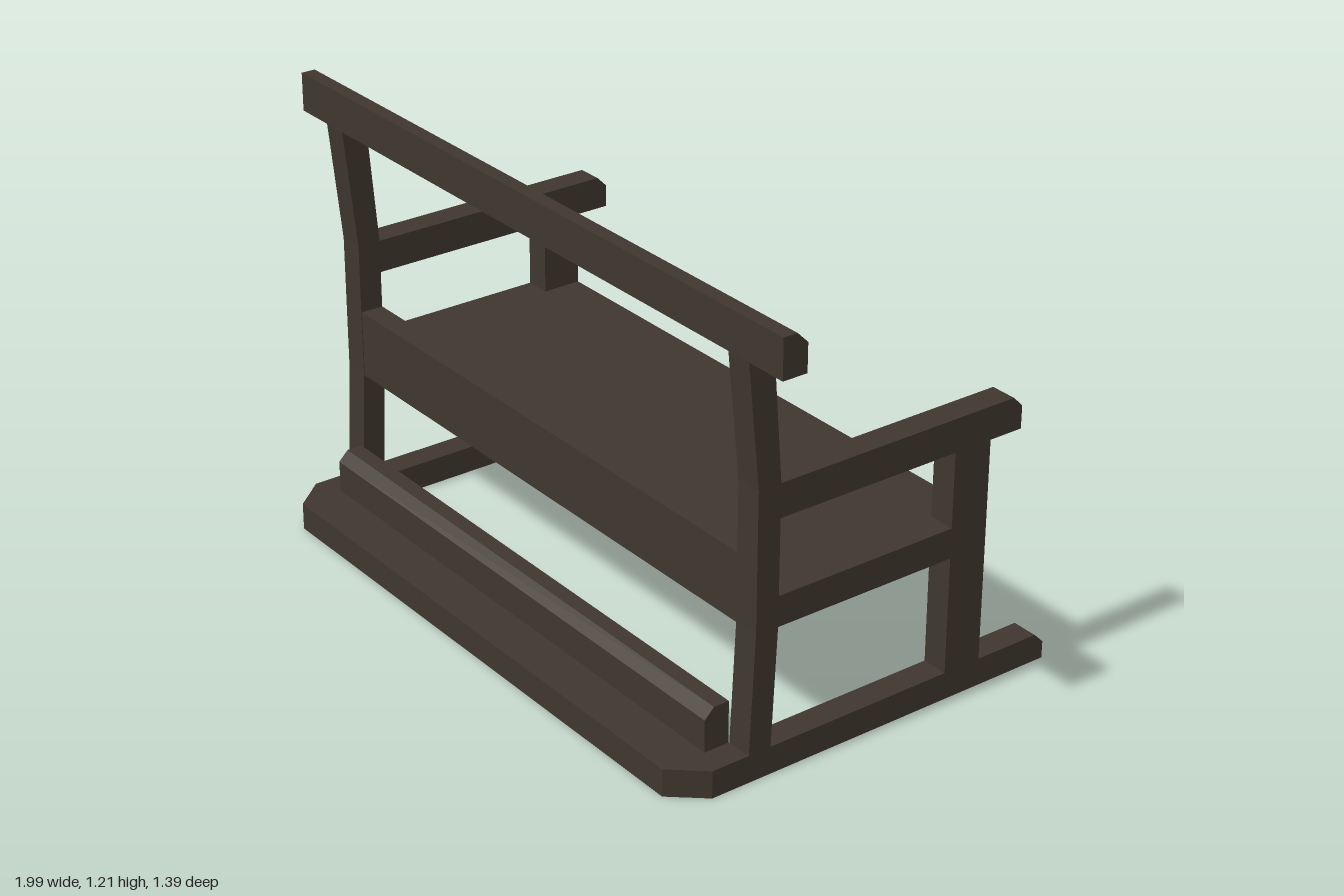
import * as THREE from 'three';

const wood = new THREE.MeshStandardMaterial({ color: 0x3f372e });
wood.name = 'dark brown wood';

const IN = 0.799, OUT = 0.872; // inner and outer faces of the side frames

// Extrudes a side profile of [z, y] points from x0 to x1
function profile(points, x0, x1) {
  const shape = new THREE.Shape(points.map(([z, y]) => new THREE.Vector2(-z, y)));
  const geo = new THREE.ExtrudeGeometry(shape, { depth: x1 - x0, bevelEnabled: false });
  return geo.rotateY(Math.PI / 2).translate(x0, 0, 0);
}

// Beam running along z, with a chamfered upper edge at its -z end
const beam = (z0, z1, y0, y1, c = 0.028) =>
  [[z1, y0], [z1, y1], [z0 + c, y1], [z0, y1 - c], [z0, y0]];
const rect = (z0, z1, y0, y1) => [[z0, y0], [z1, y0], [z1, y1], [z0, y1]];

export function createModel() {
  const model = new THREE.Group();
  model.name = 'bench';
  const bench = new THREE.Group();
  bench.name = 'benchFrame';
  bench.position.set(0.04, 0, 0.007);
  bench.rotation.y = -0.168;
  model.add(bench);

  const add = (name, geo, parent = bench) => {
    const mesh = new THREE.Mesh(geo, wood);
    mesh.name = name;
    parent.add(mesh);
  };

  // Side frames: foot, leg, bent post, seat rail and armrest
  const sideParts = {
    foot: beam(-0.566, 0.372, 0, 0.075),
    leg: rect(-0.35, -0.239, 0.075, 0.68),
    post: [
      [0.369, 0.075], [0.354, 0.4], [0.354, 0.77], [0.388, 1.1],
      [0.316, 1.1], [0.289, 0.77], [0.289, 0.4], [0.304, 0.075],
    ],
    seatRail: rect(-0.239, 0.289, 0.395, 0.477),
    armrest: beam(-0.447, 0.289, 0.68, 0.77),
  };
  for (const [side, x0, x1] of [['left', IN, OUT], ['right', -OUT, -IN]]) {
    const frame = new THREE.Group();
    frame.name = side + 'Frame';
    for (const [name, pts] of Object.entries(sideParts)) add(name, profile(pts, x0, x1), frame);
    bench.add(frame);
  }

  // Seat with a low upright board along its back
  add('seat', profile([
    [-0.35, 0.395], [0.352, 0.395], [0.352, 0.58], [0.289, 0.58], [0.289, 0.477], [-0.35, 0.477],
  ], -IN, IN));

  // Top rail with one chamfered edge
  add('topRail', profile(beam(0.319, 0.388, 1.1, 1.205, 0.03), -0.988, 0.988));

  // Base board with clipped corners
  const plan = [[-OUT, 0.372], [-OUT, 0.476], [-0.796, 0.564], [0.796, 0.564], [OUT, 0.476], [OUT, 0.372]];
  const board = new THREE.ExtrudeGeometry(
    new THREE.Shape(plan.map(([x, z]) => new THREE.Vector2(x, -z))),
    { depth: 0.075, bevelEnabled: false });
  add('baseBoard', board.rotateX(-Math.PI / 2));

  // Raised strip on the base board
  add('baseStrip', profile([
    [0.372, 0.075], [0.443, 0.075], [0.443, 0.163], [0.416, 0.19], [0.372, 0.19],
  ], -IN, IN));

  return model;
}
